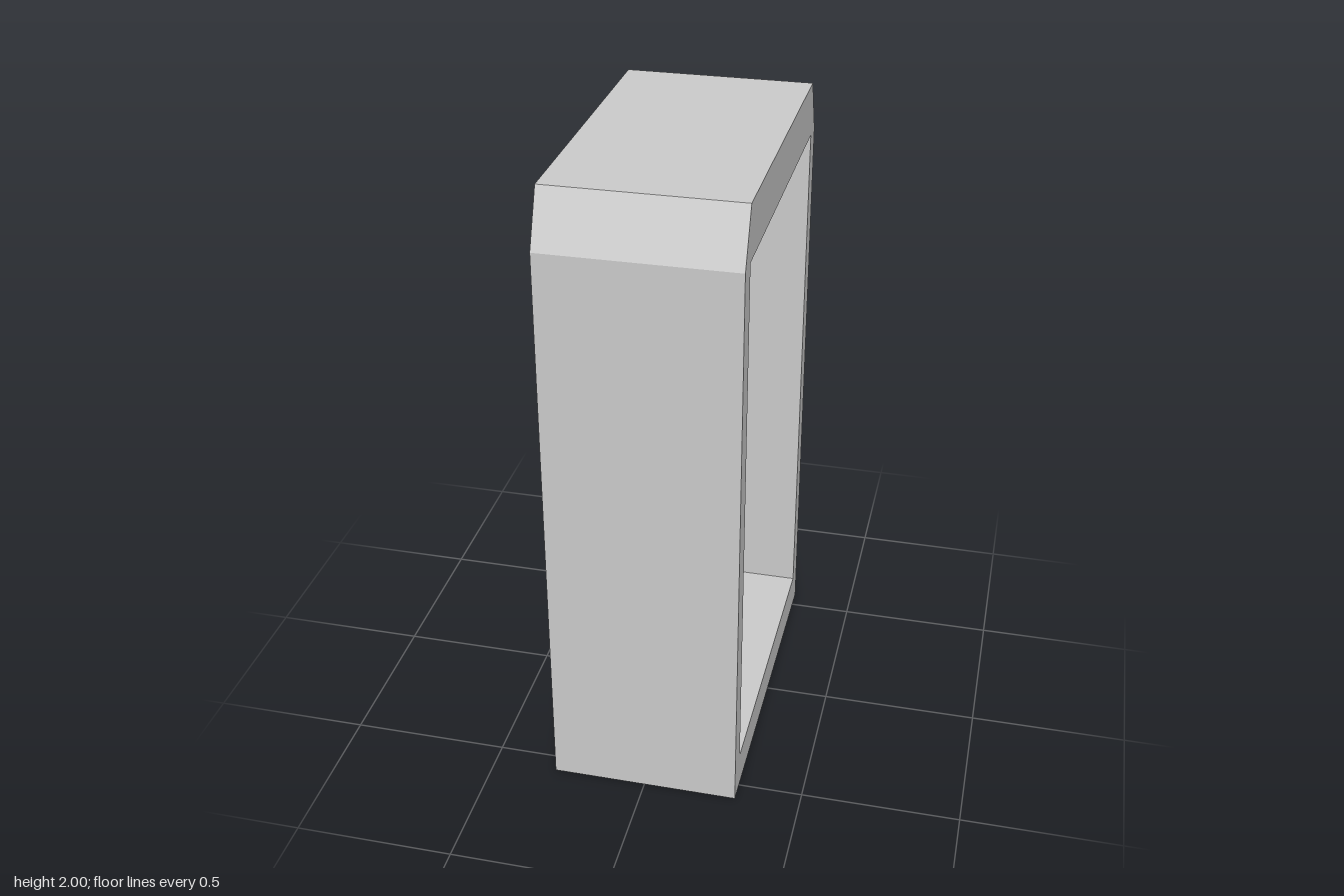
import * as THREE from 'three';
import { mergeGeometries } from 'three/addons/utils/BufferGeometryUtils.js';

const HALF_X = 0.296;
const FLOOR_X = -0.221; // inside face of the closed side

const points = (list) => list.map(([x, y]) => new THREE.Vector2(x, y));

// Counter-clockwise profiles, drawn in x/y and later turned to face +x
const outline = points([
  [-0.565, 0], [0.565, 0], [0.565, 1.83], [0.495, 2], [-0.495, 2], [-0.565, 1.83],
]);
const opening = points([[-0.495, 0.12], [0.495, 0.12], [0.495, 1.83], [-0.495, 1.83]]);

// Flat face from a profile at depth z
function face(profile, z, hole) {
  const shape = new THREE.Shape(profile);
  if (hole) shape.holes.push(new THREE.Path(hole));
  const geometry = new THREE.ShapeGeometry(shape).toNonIndexed();
  geometry.deleteAttribute('uv');
  return geometry.translate(0, 0, z);
}

// Band of flat walls following a profile from z0 to z1
function walls(profile, z0, z1) {
  const position = [];
  profile.forEach((a, i) => {
    const b = profile[(i + 1) % profile.length];
    position.push(a.x, a.y, z0, b.x, b.y, z0, b.x, b.y, z1);
    position.push(a.x, a.y, z0, b.x, b.y, z1, a.x, a.y, z1);
  });
  const geometry = new THREE.BufferGeometry();
  geometry.setAttribute('position', new THREE.Float32BufferAttribute(position, 3));
  geometry.computeVertexNormals();
  return geometry;
}

export function createModel() {
  const group = new THREE.Group();
  group.name = 'openCasing';
  const material = new THREE.MeshStandardMaterial({ color: 0xcccccc, flatShading: true });

  const add = (name, parts) => {
    const mesh = new THREE.Mesh(mergeGeometries(parts).rotateY(Math.PI / 2), material);
    mesh.name = name;
    group.add(mesh);
  };

  // Outer body: side walls with sloped top edges, closed back, rim round the opening
  add('casing', [
    walls(outline, -HALF_X, HALF_X),
    face(outline, HALF_X).rotateY(Math.PI),
    face(outline, HALF_X, opening),
  ]);

  // Recess: inward-facing walls and floor
  add('recess', [
    walls([...opening].reverse(), FLOOR_X, HALF_X),
    face(opening, FLOOR_X),
  ]);

  return group;
}
